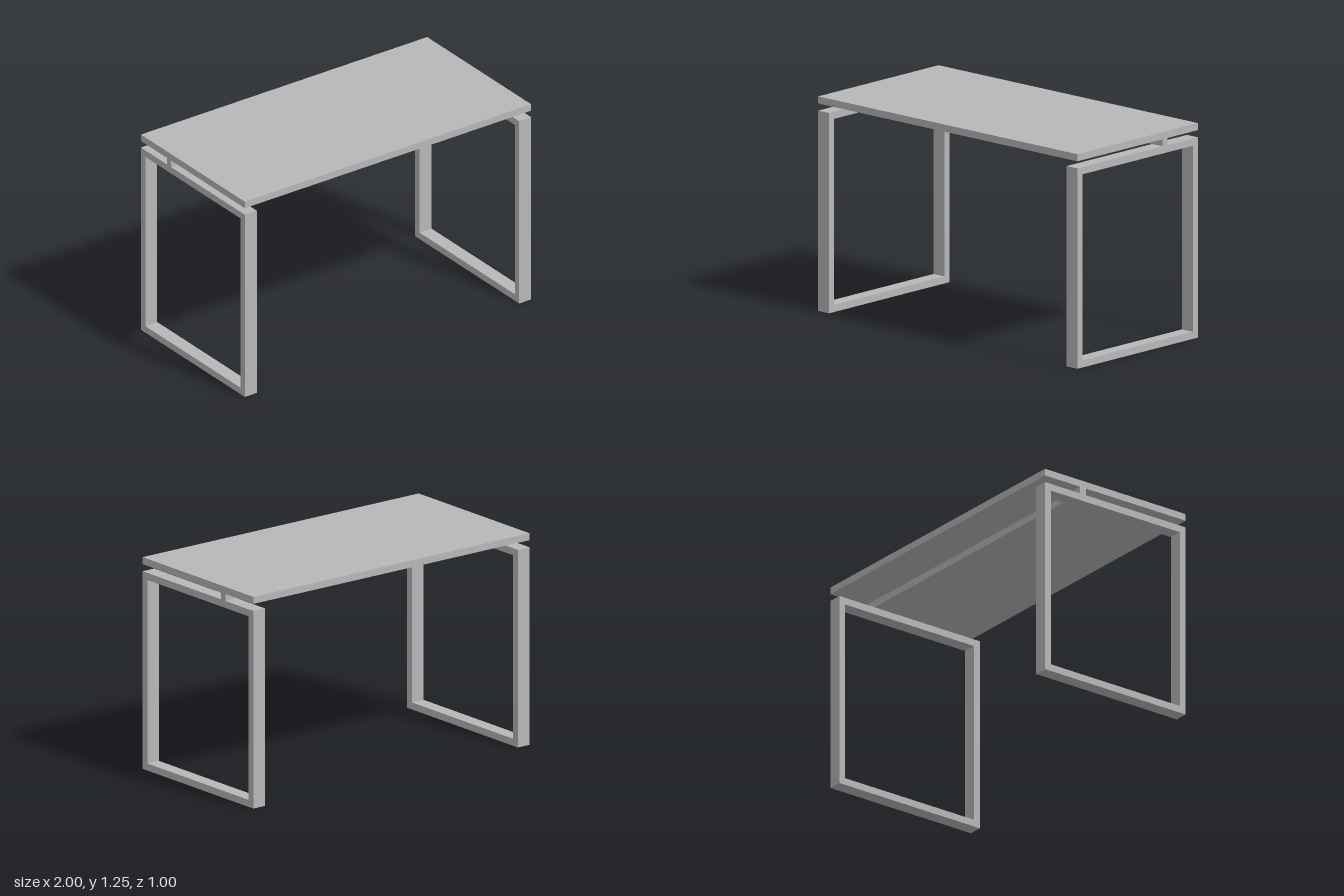
import * as THREE from 'three';

export function createModel() {
  const desk = new THREE.Group();
  desk.name = 'desk';
  const grey = new THREE.MeshStandardMaterial({ color: 0xb8b8b8 });
  grey.name = 'light grey';

  const depth = 1.0, bar = 0.0417, legWidth = 0.0833;
  const legHeight = 1.167, railTop = 1.2085, top = 1.25;

  function add(name, geometry, x, y, z) {
    const mesh = new THREE.Mesh(geometry, grey);
    mesh.name = name;
    mesh.position.set(x, y, z);
    desk.add(mesh);
  }

  // Table top
  add('tableTop', new THREE.BoxGeometry(2, top - railTop, depth), 0, (top + railTop) / 2, 0);

  // Spacer rail carrying the top, set towards the back
  add('supportRail', new THREE.BoxGeometry(2, railTop - legHeight, bar), 0, (railTop + legHeight) / 2, -0.229);

  // Closed rectangular leg frame, extruded across its width
  const rectangle = (path, inset) => {
    const h = depth / 2 - inset;
    path.moveTo(-h, inset);
    path.lineTo(h, inset);
    path.lineTo(h, legHeight - inset);
    path.lineTo(-h, legHeight - inset);
    path.closePath();
    return path;
  };
  const outline = rectangle(new THREE.Shape(), 0);
  outline.holes.push(rectangle(new THREE.Path(), bar));
  const frame = new THREE.ExtrudeGeometry(outline, { depth: legWidth, bevelEnabled: false });
  frame.translate(0, 0, -legWidth / 2);
  frame.rotateY(Math.PI / 2);

  // One frame flush with each end
  const offset = 1 - legWidth / 2;
  add('leftLegFrame', frame, offset, 0, 0);
  add('rightLegFrame', frame, -offset, 0, 0);

  return desk;
}
